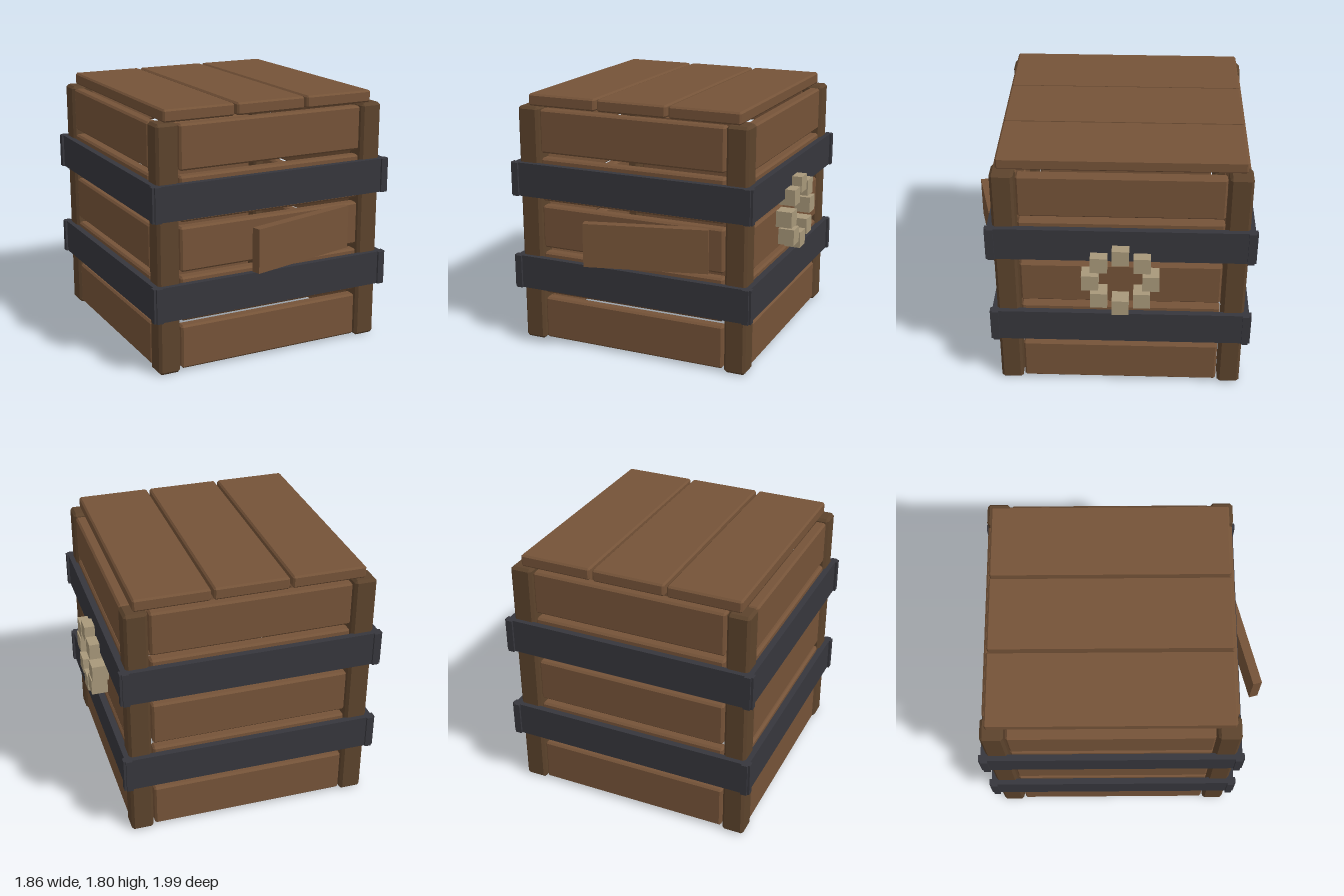
import * as THREE from 'three';
import { ConvexGeometry } from 'three/addons/geometries/ConvexGeometry.js';

const mat = (color) => new THREE.MeshStandardMaterial({ color, flatShading: true });

// Box with every edge cut at 45 degrees by c
function chamferBox(w, h, d, c) {
  const points = [];
  for (const sx of [-1, 1]) for (const sy of [-1, 1]) for (const sz of [-1, 1]) {
    const x = w / 2, y = h / 2, z = d / 2;
    points.push(
      new THREE.Vector3(sx * x, sy * (y - c), sz * (z - c)),
      new THREE.Vector3(sx * (x - c), sy * y, sz * (z - c)),
      new THREE.Vector3(sx * (x - c), sy * (y - c), sz * z)
    );
  }
  return new ConvexGeometry(points);
}

export function createModel() {
  const model = new THREE.Group();
  const crate = new THREE.Group();
  crate.name = 'crate';
  crate.position.set(-0.03, 0, -0.092);
  model.add(crate);

  const wood = mat(0x755338);
  const darkWood = mat(0x5c432c);
  const iron = mat(0x36363c);
  const bone = mat(0xa8987a);

  const add = (name, geometry, material, x, y, z, rotY = 0) => {
    const mesh = new THREE.Mesh(geometry, material);
    mesh.name = name;
    mesh.position.set(x, y, z);
    mesh.rotation.y = rotY;
    crate.add(mesh);
    return mesh;
  };

  // Corner posts
  const post = chamferBox(0.155, 1.715, 0.155, 0.018);
  for (const sx of [-1, 1]) for (const sz of [-1, 1]) {
    add('cornerPost', post, darkWood, sx * 0.775, 0.8575, sz * 0.775);
  }

  // Four walls: five planks between the posts, two iron bands across them
  const plank = chamferBox(1.37, 0.308, 0.08, 0.013);
  const band = new THREE.BoxGeometry(1.805, 0.24, 0.045);
  for (let side = 0; side < 4; side++) {
    const angle = side * Math.PI / 2;
    const nx = Math.sin(angle), nz = Math.cos(angle);
    for (let row = 0; row < 5; row++) {
      add('wallPlank', plank, wood, nx * 0.803, 0.172 + row * 0.344, nz * 0.803, angle);
    }
    for (const y of [0.515, 1.2]) {
      add('ironBand', band, iron, nx * 0.865, y, nz * 0.865, angle);
    }
  }

  // Lid of three planks
  const lidPlank = chamferBox(0.51, 0.085, 1.635, 0.012);
  for (const i of [-1, 0, 1]) {
    add('lidPlank', lidPlank, wood, i * 0.53, 1.757, 0);
  }

  // Loose board leaning out of the front wall
  add('looseBoard', new THREE.BoxGeometry(0.85, 0.305, 0.065), wood, 0.17, 0.855, 0.95, 0.25);

  // Ring of eight square pegs on the left side
  const peg = new THREE.BoxGeometry(0.115, 0.115, 0.115);
  for (let i = 0; i < 8; i++) {
    const a = i * Math.PI / 4;
    add('ringPeg', peg, bone, 0.903, 0.945 + Math.sin(a) * 0.205, Math.cos(a) * 0.205);
  }

  return model;
}
